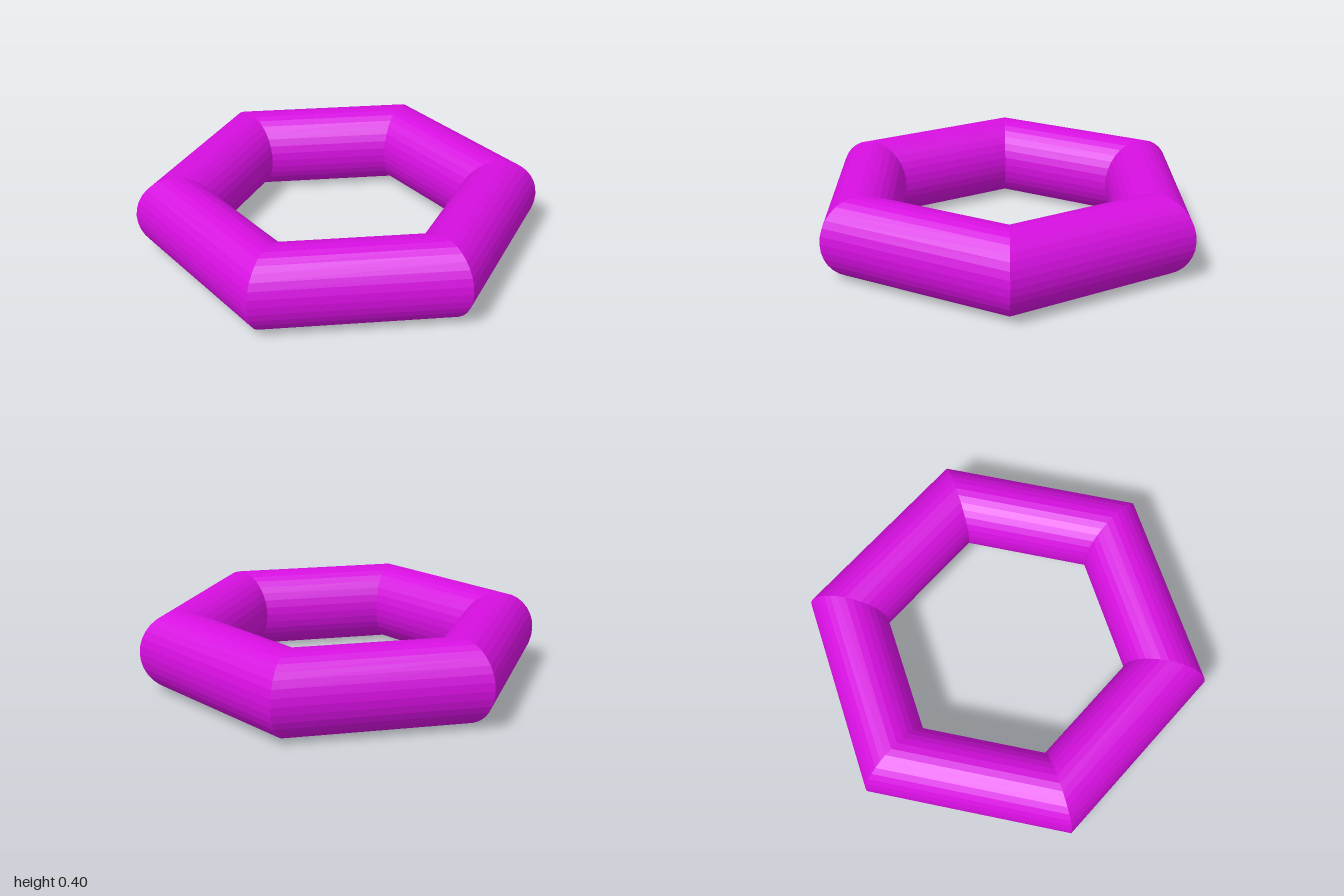
import * as THREE from 'three';

const RING_RADIUS = 0.8;
const TUBE_RADIUS = 0.2;

export function createModel() {
  const group = new THREE.Group();
  group.name = 'hexagonalRing';

  // Round tube bent into six straight, mitred sides, lying flat with corners on the x axis
  const geometry = new THREE.TorusGeometry(RING_RADIUS, TUBE_RADIUS, 32, 6);
  geometry.rotateX(-Math.PI / 2);
  geometry.translate(0, TUBE_RADIUS, 0);

  const material = new THREE.MeshStandardMaterial({ color: 0xd60fe0, flatShading: true });
  const ring = new THREE.Mesh(geometry, material);
  ring.name = 'ring';
  group.add(ring);
  return group;
}
